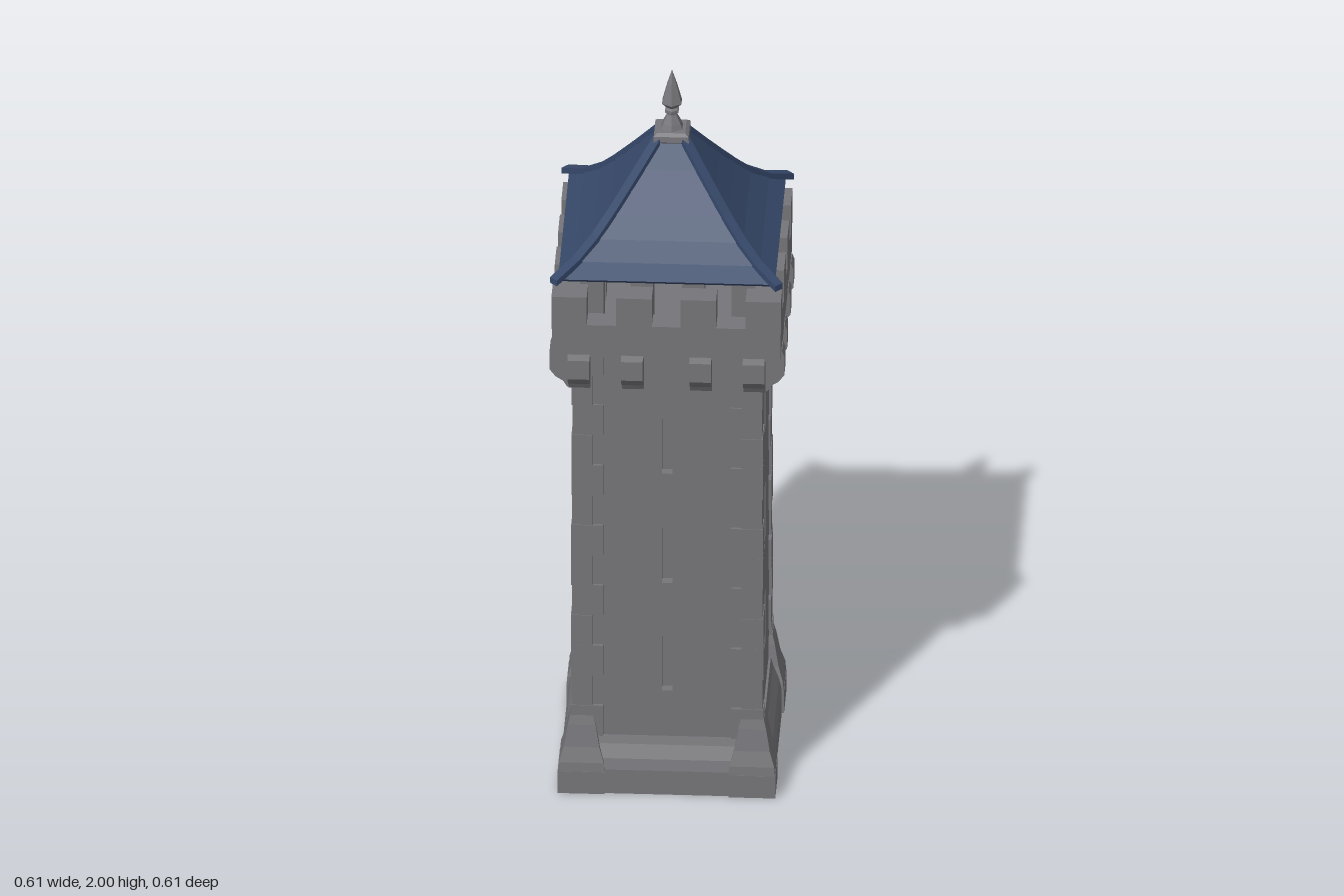
import * as THREE from 'three';

const mat = (name, color) => {
  const m = new THREE.MeshStandardMaterial({ color, flatShading: true });
  m.name = name;
  return m;
};

export function createModel() {
  const stone = mat('grey stone', 0x767579);
  const slate = mat('blue slate', 0x364869);
  const tower = new THREE.Group();
  tower.name = 'tower';

  const add = (name, geo, material = stone, parent = tower) => {
    const m = new THREE.Mesh(geo, material);
    m.name = name;
    parent.add(m);
    return m;
  };
  // box given by its limits on each axis
  const block = (name, x0, x1, y0, y1, z0, z1, parent) => {
    const m = add(name, new THREE.BoxGeometry(x1 - x0, y1 - y0, z1 - z0), stone, parent);
    m.position.set((x0 + x1) / 2, (y0 + y1) / 2, (z0 + z1) / 2);
    return m;
  };
  // square solid from a profile of [half width, height]
  const squareLathe = pts => new THREE.LatheGeometry(
    pts.map(([r, y]) => new THREE.Vector2(r * Math.SQRT2, y)), 4, Math.PI / 4);
  const polygon = pts => new THREE.Shape(pts.map(p => new THREE.Vector2(...p)));
  const rectangle = (a, b, c, d) => polygon([[a, c], [b, c], [b, d], [a, d]]);

  // plinth and core
  add('plinth', squareLathe([[0, 0], [0.275, 0], [0.275, 0.07], [0.268, 0.1], [0.252, 0.135], [0.246, 0.155], [0, 0.155]]));
  add('core', new THREE.BoxGeometry(0.43, 1.2, 0.43)).position.y = 0.71;

  // wall panel with three arrow slits
  const wall = rectangle(-0.24, 0.24, 0.1, 1.315);
  for (const y of [0.29, 0.61, 0.935]) wall.holes.push(rectangle(-0.014, 0.014, y, y + 0.162));
  const wallGeo = new THREE.ExtrudeGeometry(wall, { depth: 0.03, bevelEnabled: false });

  // corbel outline: x is outwards, y is up
  const corbelGeo = new THREE.ExtrudeGeometry(polygon([
    [0.22, 1.195], [0.258, 1.195], [0.268, 1.212], [0.288, 1.225], [0.303, 1.245], [0.303, 1.3], [0.297, 1.315], [0.22, 1.315],
  ]), { depth: 0.056, bevelEnabled: false });
  corbelGeo.translate(0, 0, -0.028).rotateY(-Math.PI / 2);

  for (let s = 0; s < 4; s++) {
    const side = new THREE.Group();
    side.name = 'towerSide';
    side.rotation.y = s * Math.PI / 2;
    tower.add(side);
    add('wall', wallGeo, stone, side).position.z = 0.21;
    for (const x of [-0.226, -0.088, 0.088, 0.226]) add('corbel', corbelGeo, stone, side).position.x = x;

    // merlons and roof posts along the side, then those on its corner
    for (const k of [-1, 1]) {
      const c = k * 0.083;
      block('merlon', c - 0.046, c + 0.046, 1.39, 1.485, 0.232, 0.296, side);
      const p = k * 0.066;
      block('roofPost', p - 0.029, p + 0.029, 1.34, 1.54, 0.166, 0.226, side);
    }
    block('cornerMerlon', 0.205, 0.296, 1.39, 1.485, 0.205, 0.296, side);
    block('cornerPost', 0.165, 0.226, 1.34, 1.54, 0.165, 0.226, side);

    // plinth corner stones and a pale of alternating quoins
    block('plinthCorner', 0.16, 0.281, 0, 0.065, 0.16, 0.281, side);
    add('plinthCornerSlope', new THREE.LatheGeometry(
      [[0, 0.065], [0.06, 0.065], [0.058, 0.09], [0.046, 0.13], [0.036, 0.19], [0.03, 0.215], [0, 0.215]]
        .map(([r, y]) => new THREE.Vector2(r * Math.SQRT2, y)), 4, Math.PI / 4), stone, side)
      .position.set(0.22, 0, 0.22);
    const rows = 13, h = (1.315 - 0.155) / rows;
    for (let i = 0; i < rows; i++) {
      const long = (i + s) % 2 === 0;
      const out = 0.249 - 0.003 * (i / rows) - (i % 3 === 1 ? 0.002 : 0);
      const y = 0.155 + i * h;
      block('quoin', long ? 0.165 : 0.192, out, y, y + h, long ? 0.192 : 0.165, out, side);
    }
  }

  // parapet ring and walkway
  const ring = rectangle(-0.295, 0.295, -0.295, 0.295);
  ring.holes.push(rectangle(-0.232, 0.232, -0.232, 0.232));
  const ringGeo = new THREE.ExtrudeGeometry(ring, { depth: 0.095, bevelEnabled: false });
  add('parapet', ringGeo.rotateX(-Math.PI / 2)).position.y = 1.308;
  block('walkway', -0.24, 0.24, 1.309, 1.36, -0.24, 0.24);

  // roof of overlapping courses on a concave slope
  const slope = [[0.276, 1.527], [0.235, 1.558], [0.19, 1.6], [0.15, 1.65], [0.115, 1.698], [0.08, 1.747], [0.038, 1.808]];
  const courses = [[0, 1.54], [0.25, 1.535], [0.274, 1.52]];
  for (let i = 0; i < slope.length - 1; i++) {
    courses.push([slope[i][0] + 0.004, slope[i][1] + 0.001], slope[i + 1]);
  }
  courses.push([0, 1.808]);
  add('roof', squareLathe(courses), slate);

  // hip ridges
  const hip = [[0.291, 1.527], ...slope.slice(1)];
  const hipShape = polygon([
    ...hip.map(([r, y]) => [r * Math.SQRT2, y - 0.008]),
    ...hip.map(([r, y]) => [r * Math.SQRT2, y + 0.009]).reverse(),
  ].reverse());
  const hipGeo = new THREE.ExtrudeGeometry(hipShape, { depth: 0.026, bevelEnabled: false });
  hipGeo.translate(0, 0, -0.013);
  for (let i = 0; i < 4; i++) add('hipRidge', hipGeo, slate).rotation.y = Math.PI / 4 + i * Math.PI / 2;

  // finial
  add('finialCap', squareLathe([[0, 1.8], [0.038, 1.8], [0.046, 1.808], [0.045, 1.824], [0.036, 1.831], [0, 1.831]]));
  add('finial', new THREE.LatheGeometry([
    [0.033, 1.828], [0.026, 1.845], [0.014, 1.868], [0.013, 1.872], [0.02, 1.877], [0.02, 1.885],
    [0.013, 1.889], [0.029, 1.905], [0.014, 1.958], [0, 2],
  ].map(p => new THREE.Vector2(...p)), 6));

  return tower;
}
